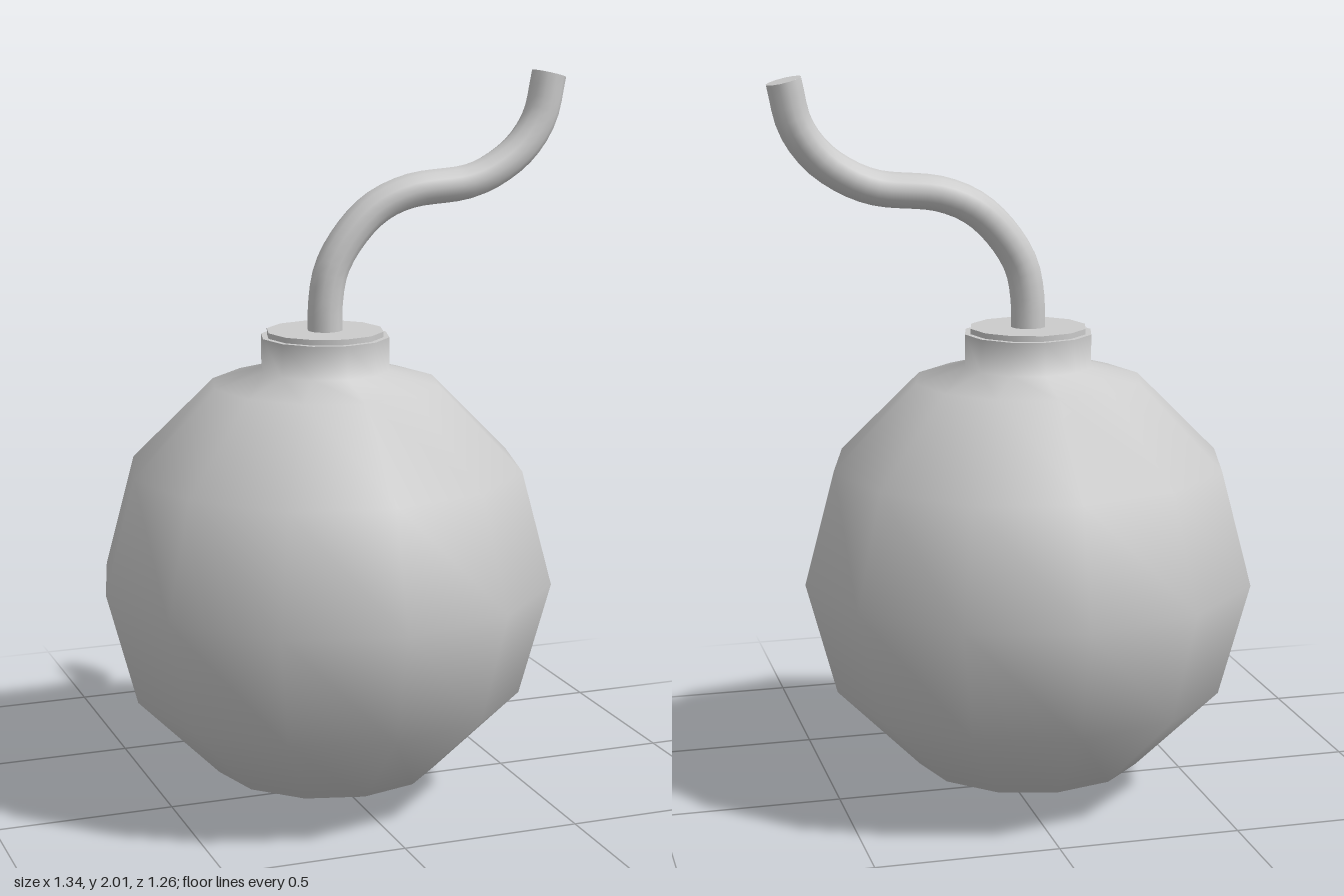
import * as THREE from 'three';

const AXIS_X = -0.045; // the ball and collar sit slightly right of the centre
const SIDES = 12;
const RADIUS = 0.63;
const COLLAR_R = 0.178;

export function createModel() {
  const model = new THREE.Group();
  const material = new THREE.MeshStandardMaterial({ color: 0xcccccc });

  const add = (name, geometry, x = 0, y = 0, z = 0) => {
    const mesh = new THREE.Mesh(geometry, material);
    mesh.name = name;
    mesh.position.set(x, y, z);
    model.add(mesh);
    return mesh;
  };

  // Ball: coarse smooth sphere whose top runs into the collar wall
  const profile = [];
  for (let i = 0; i <= 5; i++) {
    const a = (i * Math.PI) / 6;
    profile.push(new THREE.Vector2(RADIUS * Math.sin(a), RADIUS - RADIUS * Math.cos(a)));
  }
  profile.push(new THREE.Vector2(COLLAR_R, 1.213), new THREE.Vector2(COLLAR_R, 1.305));
  add('ballWithCollar', new THREE.LatheGeometry(profile, SIDES), AXIS_X);

  // Flat shoulder of the collar and the thin raised plate on it
  const shoulder = new THREE.CircleGeometry(COLLAR_R, SIDES).rotateX(-Math.PI / 2);
  add('collarShoulder', shoulder, AXIS_X, 1.305);
  add('collarPlate', new THREE.CylinderGeometry(0.162, 0.162, 0.016, SIDES), AXIS_X, 1.312);

  // Fuse: S-shaped cord rising from the plate
  const path = new THREE.CatmullRomCurve3([
    [AXIS_X, 1.3, 0], [-0.043, 1.4, 0], [-0.025, 1.49, 0], [0.03, 1.58, 0],
    [0.105, 1.65, 0], [0.2, 1.69, 0.004], [0.37, 1.71, 0.008], [0.45, 1.741, 0.007],
    [0.53, 1.798, 0.003], [0.588, 1.88, -0.003], [0.617, 1.998, -0.008],
  ].map((p) => new THREE.Vector3(...p)));
  add('fuse', new THREE.TubeGeometry(path, 32, 0.048, 12));

  // Cut end of the fuse
  const tip = add('fuseTip', new THREE.CircleGeometry(0.048, 12));
  tip.position.copy(path.getPointAt(1));
  tip.quaternion.setFromUnitVectors(new THREE.Vector3(0, 0, 1), path.getTangentAt(1));

  return model;
}
